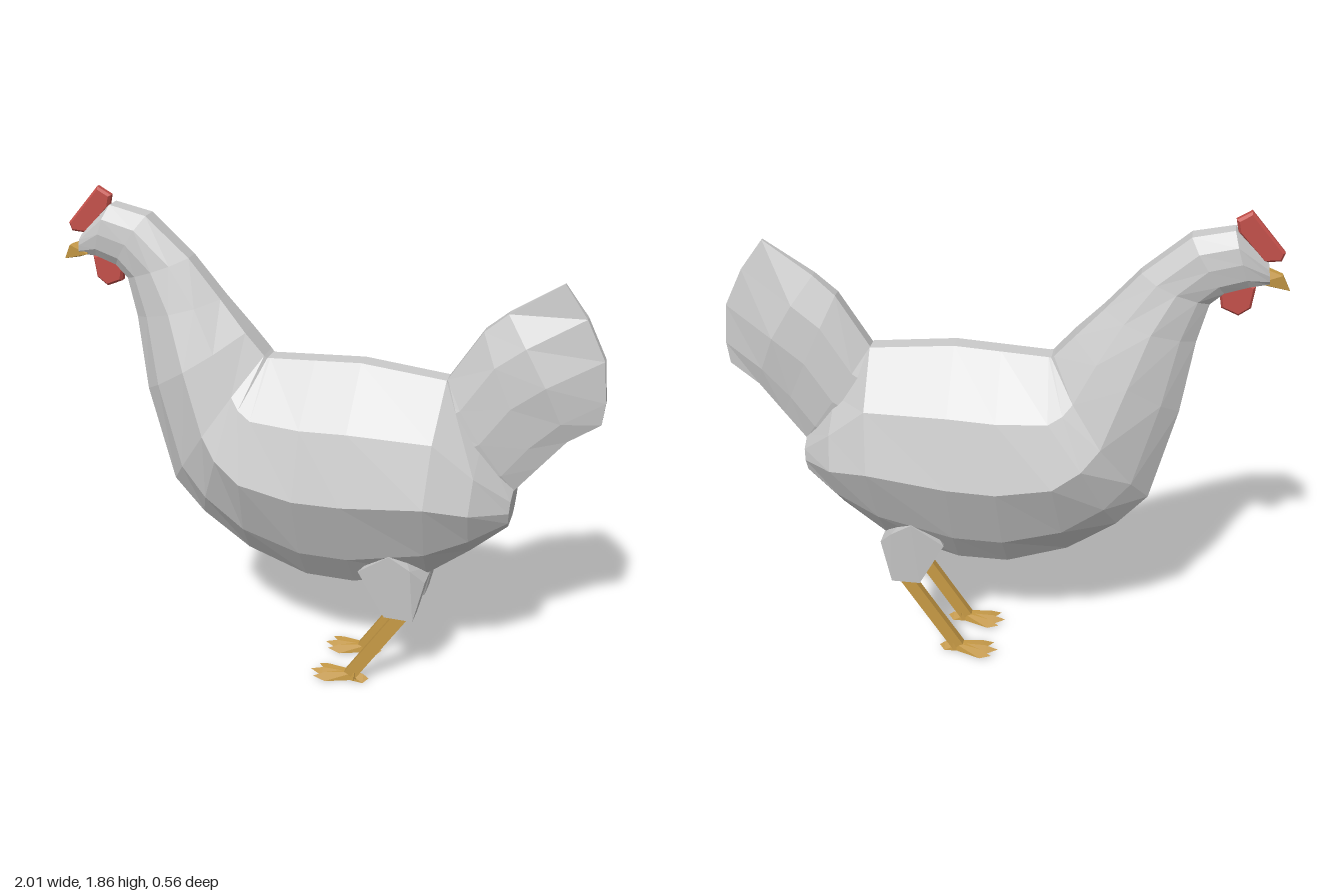
import * as THREE from 'three';
import { ConvexGeometry } from 'three/addons/geometries/ConvexGeometry.js';

const mat = (color) => new THREE.MeshStandardMaterial({ color, flatShading: true });
const feathers = mat(0xcccccc), horn = mat(0xc79a45), red = mat(0xc4504a);

// Heights along a section (0 = underside, 1 = back) and width factors, pear-shaped or rounded
const HEIGHTS = [0, 0.17, 0.48, 0.77, 1];
const PEAR = [0.22, 0.6, 1, 0.76, 0.12];
const ROUND = [0.6, 0.88, 1, 0.95, 0.4];

// Section: [underside x, y, back x, y, half width, roundness, z shift, rearward bow]
function ring([bx, by, tx, ty, w, r = 0, dz = 0, bow = 0]) {
  const half = HEIGHTS.map((t, i) => [
    THREE.MathUtils.lerp(bx, tx, t) + bow * Math.sin(Math.PI * t),
    THREE.MathUtils.lerp(by, ty, t),
    w * THREE.MathUtils.lerp(PEAR[i], ROUND[i], r),
  ]);
  const left = half.map(([x, y, z]) => [x, y, dz + z]);
  const right = half.map(([x, y, z]) => [x, y, dz - z]).reverse();
  return [...left, ...right];
}

// Skin consecutive sections, running from tail end to head end, and cap both ends
function loft(sections) {
  const rings = sections.map(ring), n = rings[0].length, last = (rings.length - 1) * n;
  const index = [];
  for (let i = 0; i < rings.length - 1; i++) {
    for (let j = 0; j < n; j++) {
      const a = i * n + j, b = i * n + (j + 1) % n;
      index.push(a, b, b + n, a, b + n, a + n);
    }
  }
  // Caps are strips between the left and right halves
  for (let j = 0; j < n / 2 - 1; j++) {
    const k = n - 1 - j;
    index.push(j, k, k - 1, j, k - 1, j + 1);
    index.push(last + j, last + j + 1, last + k - 1, last + j, last + k - 1, last + k);
  }
  const g = new THREE.BufferGeometry();
  g.setAttribute('position', new THREE.Float32BufferAttribute(rings.flat(2), 3));
  g.setIndex(index);
  g.computeVertexNormals();
  return g;
}

function add(parent, name, geometry, material) {
  const m = new THREE.Mesh(geometry, material);
  m.name = name;
  parent.add(m);
  return m;
}

// Flat fleshy plate with bevelled rim, centred on z = 0
function plate(points, depth) {
  const shape = new THREE.Shape(points.map(([x, y]) => new THREE.Vector2(x, y)));
  const g = new THREE.ExtrudeGeometry(shape, {
    depth: depth / 2, bevelThickness: depth / 4, bevelSize: 0.008, bevelOffset: -0.008, bevelSegments: 1,
  });
  return g.translate(0, 0, -depth / 4);
}

const hull = (points) => new ConvexGeometry(points.map((p) => new THREE.Vector3(...p)));

function leg() {
  const g = new THREE.Group();
  // Feathered thigh tapering down to the shank
  add(g, 'thigh', hull([
    [0.28, 0.34, 0.06], [0.39, 0.34, 0.06], [0.28, 0.34, 0.14], [0.39, 0.34, 0.14],
    [0.18, 0.53, 0.155], [0.38, 0.57, 0.165], [0.43, 0.51, 0.13], [0.43, 0.51, 0.0],
    [0.2, 0.47, 0.0], [0.36, 0.45, 0.0], [0.3, 0.62, 0.17], [0.3, 0.62, 0.0],
  ]), feathers);
  // Slanted shank
  const foot = new THREE.Vector3(0.14, 0.03, 0.1), hock = new THREE.Vector3(0.355, 0.36, 0.1);
  const dir = hock.clone().sub(foot);
  const shank = add(g, 'shank', new THREE.BoxGeometry(0.05, dir.length(), 0.03), horn);
  shank.position.copy(foot).add(hock).multiplyScalar(0.5);
  shank.rotation.z = Math.atan2(dir.y, dir.x) - Math.PI / 2;
  // Three front toes and one back toe, each a tapered wedge
  const toes = [[-0.3, 0.15], [0, 0.165], [0.3, 0.15], [Math.PI, 0.07]];
  for (const [angle, length] of toes) {
    const toe = add(g, 'toe', hull([
      [0.02, 0.012, -0.016], [0.02, 0.012, 0.016], [0.02, 0.046, -0.011], [0.02, 0.046, 0.011],
      [-length * 0.7, 0.005, -0.014], [-length * 0.7, 0.005, 0.014], [-length * 0.7, 0.038, 0],
      [-length, 0.022, 0],
    ]), horn);
    toe.position.set(0.145, 0, 0.1);
    toe.rotation.y = angle;
  }
  return g;
}

export function createModel() {
  const hen = new THREE.Group();
  hen.name = 'hen';

  // Rump, barrel, breast, neck and head in one skin
  add(hen, 'body', loft([
    [0.71, 0.75, 0.72, 0.9, 0.09, 0.8],
    [0.58, 0.64, 0.6, 1.08, 0.21, 0.25],
    [0.42, 0.51, 0.46, 1.28, 0.265],
    [0.14, 0.43, 0.15, 1.31, 0.28],
    [-0.05, 0.43, -0.02, 1.3, 0.28],
    [-0.28, 0.51, -0.19, 1.29, 0.275],
    [-0.46, 0.64, -0.2, 1.29, 0.25, 0.1],
    [-0.57, 0.77, -0.21, 1.3, 0.21, 0.3],
    [-0.66, 1.13, -0.28, 1.38, 0.17, 0.5],
    [-0.7, 1.4, -0.38, 1.49, 0.125, 0.5, -0.01],
    [-0.735, 1.54, -0.5, 1.63, 0.095, 0.7, -0.015],
    [-0.78, 1.585, -0.66, 1.77, 0.088, 0.9, -0.02],
    [-0.86, 1.61, -0.8, 1.8, 0.08, 0.9, -0.02],
    [-0.93, 1.61, -0.92, 1.68, 0.035, 1, -0.005],
  ]), feathers);

  // Upright fan tail
  add(hen, 'tail', loft([
    [1.0, 1.17, 0.84, 1.66, 0.016, 0.8, 0, 0.07],
    [0.89, 1.1, 0.66, 1.54, 0.082, 0.3, 0, 0.03],
    [0.8, 0.99, 0.58, 1.47, 0.084, 0.5],
    [0.72, 0.89, 0.46, 1.28, 0.09, 0.5],
    [0.58, 0.82, 0.38, 1.22, 0.09, 0.3],
  ]), feathers);

  // Beak with a hooked tip
  add(hen, 'beak', hull([
    [-1, 1.58, 0], [-0.97, 1.637, 0.012], [-0.97, 1.637, -0.012], [-0.91, 1.66, 0.015], [-0.91, 1.66, -0.015],
    [-0.89, 1.615, 0.033], [-0.89, 1.615, -0.037], [-0.93, 1.598, 0.015], [-0.93, 1.598, -0.015],
  ]), horn);

  // Comb, turned slightly with the head
  const comb = add(hen, 'comb', plate(
    [[-0.97, 1.72], [-0.96, 1.69], [-0.9, 1.685], [-0.81, 1.785], [-0.8, 1.83], [-0.85, 1.86]], 0.036), red);
  comb.geometry.translate(0.885, 0, 0);
  comb.position.set(-0.885, 0, -0.012);
  comb.rotation.y = 0.07;

  // Wattle under the chin
  const wattle = add(hen, 'wattle', plate(
    [[-0.885, 1.6], [-0.875, 1.52], [-0.835, 1.49], [-0.775, 1.515], [-0.765, 1.57], [-0.8, 1.63]], 0.04), red);
  wattle.position.z = -0.015;

  // Legs, the right one mirrored
  for (const side of [1, -1]) {
    const l = leg();
    l.name = side > 0 ? 'frontSideLeg' : 'backSideLeg';
    l.scale.z = side;
    hen.add(l);
  }
  return hen;
}
